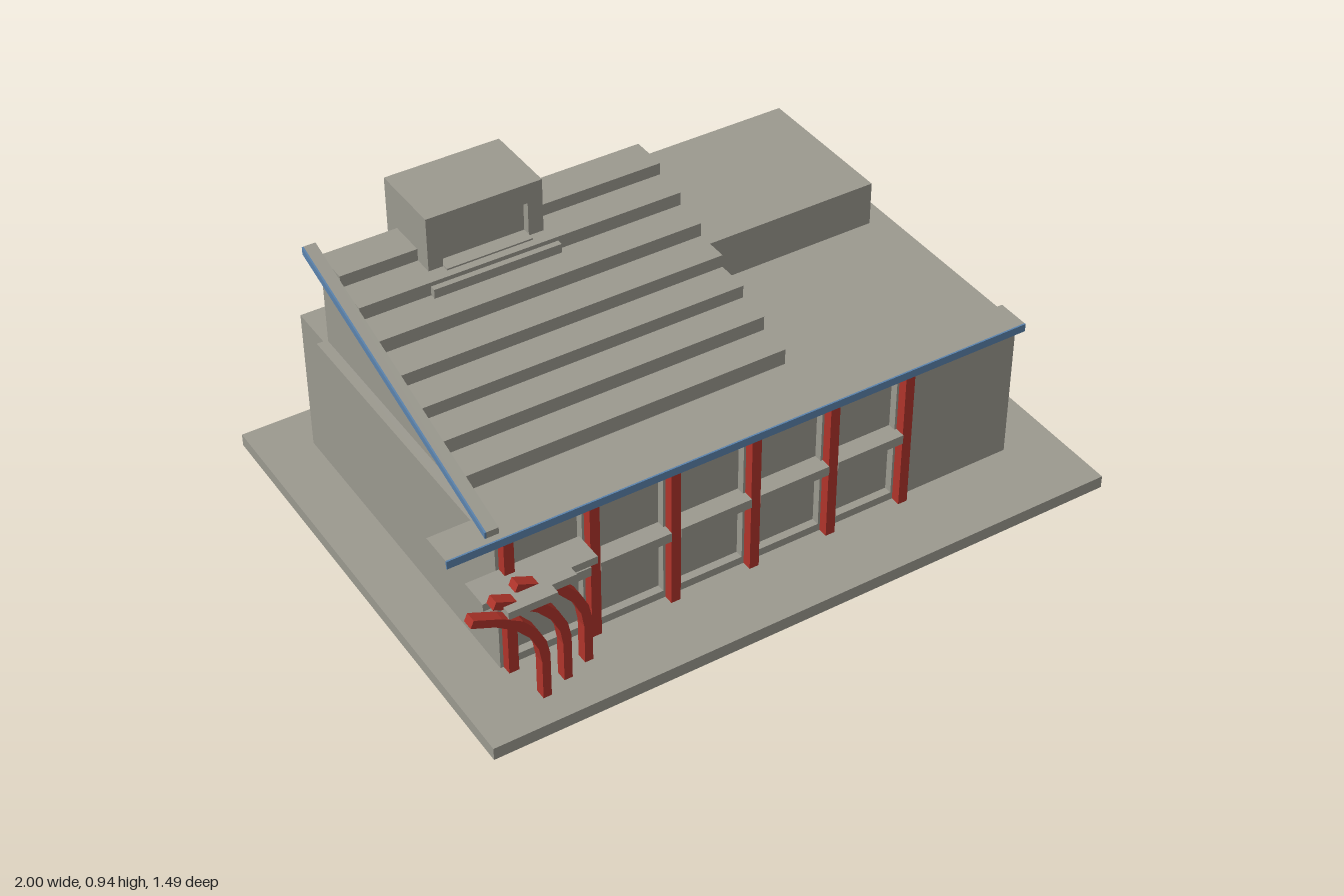
import * as THREE from 'three';

const mat = (name, color) => {
  const m = new THREE.MeshStandardMaterial({ color });
  m.name = name;
  return m;
};

export function createModel() {
  const model = new THREE.Group();
  const concrete = mat('concrete grey', 0x9b998f);
  const red = mat('column red', 0xb0342a);
  const blue = mat('trim blue', 0x5b83ad);

  const add = (name, geometry, material = concrete) => {
    const mesh = new THREE.Mesh(geometry, material);
    mesh.name = name;
    model.add(mesh);
    return mesh;
  };
  // Box given by its limits on each axis
  const box = (name, x0, x1, y0, y1, z0, z1, material) => {
    const g = new THREE.BoxGeometry(x1 - x0, y1 - y0, z1 - z0);
    g.translate((x0 + x1) / 2, (y0 + y1) / 2, (z0 + z1) / 2);
    return add(name, g, material);
  };
  const outline = (pts) => new THREE.Shape(pts.map(([a, b]) => new THREE.Vector2(a, b)));
  const rect = (a0, a1, b0, b1) => outline([[a0, b0], [a1, b0], [a1, b1], [a0, b1]]);
  const extrude = (shape, depth) => new THREE.ExtrudeGeometry(shape, { depth, bevelEnabled: false });
  // Extrude an outline drawn in x, y from z0 to z1
  const alongZ = (shape, z0, z1) => extrude(shape, z1 - z0).translate(0, 0, z0);
  // Extrude an outline drawn in z, y from x0 to x1
  const alongX = (shape, x0, x1) => extrude(shape, x1 - x0).rotateY(-Math.PI / 2).translate(x1, 0, 0);

  // Ground slab and building core
  box('base', -1, 1, 0, 0.04, -0.745, 0.745);
  box('buildingCore', -0.84, 0.81, 0.04, 0.505, -0.6, 0.475);

  // Front wall with two rows of recessed bays
  const columns = [-0.815, -0.56, -0.31, -0.055, 0.2, 0.45];
  const front = rect(-0.84, 0.835, 0.04, 0.505);
  for (let i = 0; i < 5; i++) {
    for (const [y0, y1] of [[0.065, 0.24], [0.295, 0.465]]) {
      front.holes.push(rect(columns[i] + 0.028, columns[i + 1] - 0.022, y0, y1));
    }
  }
  add('frontWall', alongZ(front, 0.475, 0.5));

  // Right-hand side wall with small recessed windows
  const side = rect(-0.6, 0.475, 0.04, 0.505);
  for (const z of [0.295, 0.122, -0.052, -0.227, -0.4]) {
    for (const [y0, y1] of [[0.12, 0.203], [0.295, 0.377]]) {
      side.holes.push(rect(z - 0.062, z + 0.062, y0, y1));
    }
  }
  add('sideWall', alongX(side, 0.81, 0.835));

  // Facade columns and the floor band between them
  for (const x of columns) box('facadeColumn', x - 0.015, x + 0.015, 0.04, 0.505, 0.5, 0.53, red);
  for (let i = 0; i < 5; i++) {
    box('floorBand', columns[i] + 0.015, columns[i + 1] - 0.015, 0.265, 0.295, 0.5, 0.533);
  }

  // Front eave with a blue fascia
  box('eave', -1, 0.83, 0.505, 0.53, 0.44, 0.541);
  box('eaveFascia', -1, 0.83, 0.505, 0.53, 0.541, 0.546, blue);

  // Stepped roof terrace
  const treads = [0.31, 0.205, 0.1, -0.005, -0.115, -0.222, -0.33];
  const heights = [0.555, 0.6, 0.64, 0.68, 0.723, 0.765, 0.803];
  const steps = [[-0.447, 0.505], [0.31, 0.505]];
  treads.forEach((z, i) => steps.push([z, heights[i]], [treads[i + 1] ?? -0.447, heights[i]]));
  add('steppedRoof', alongX(outline(steps), -0.83, 0.183));

  // Rear roof block
  box('roofBlock', 0.05, 0.77, 0.505, 0.645, -0.588, -0.11);

  // Tower with a recessed front opening, sill and ledge
  box('towerCore', -0.595, -0.235, 0.505, 0.935, -0.507, -0.295);
  const towerFront = rect(-0.595, -0.235, 0.505, 0.935);
  towerFront.holes.push(rect(-0.55, -0.282, 0.77, 0.873));
  add('towerFront', alongZ(towerFront, -0.295, -0.27));
  box('towerSill', -0.55, -0.282, 0.74, 0.77, -0.295, -0.247);
  box('towerLedge', -0.615, -0.217, 0.722, 0.752, -0.24, -0.203);

  // Sloping side beam with blue outer face, and the rail below it
  const slope = [[0.522, 0.53], [0.522, 0.55], [-0.455, 0.842], [-0.455, 0.818]];
  add('slopingBeam', alongX(outline(slope), -0.872, -0.836));
  add('slopingBeamTrim', alongX(outline(slope), -0.877, -0.872), blue);
  box('sideRail', -0.872, -0.84, 0.505, 0.528, -0.43, 0.44);

  // Entrance canopy in three staggered plates
  box('canopyPlate', -0.93, -0.59, 0.363, 0.387, 0.5, 0.593);
  box('canopyPlate', -0.89, -0.67, 0.363, 0.387, 0.593, 0.623);
  box('canopyPlate', -0.89, -0.745, 0.363, 0.387, 0.623, 0.655);

  // Curved red ribs holding the canopy
  const rib = [
    [-0.8, 0.04], [-0.775, 0.04], [-0.775, 0.19], [-0.785, 0.24], [-0.81, 0.292], [-0.85, 0.34],
    [-0.91, 0.378], [-0.99, 0.413], [-1, 0.39], [-0.93, 0.36], [-0.873, 0.32], [-0.83, 0.27],
    [-0.808, 0.22], [-0.8, 0.17],
  ];
  for (let i = 0; i < 3; i++) {
    const shifted = rib.map(([x, y]) => [x + i * 0.08, y]);
    const z = 0.623 - i * 0.028;
    add('canopyRib', alongZ(outline(shifted), z, z + 0.034), red);
  }

  return model;
}
